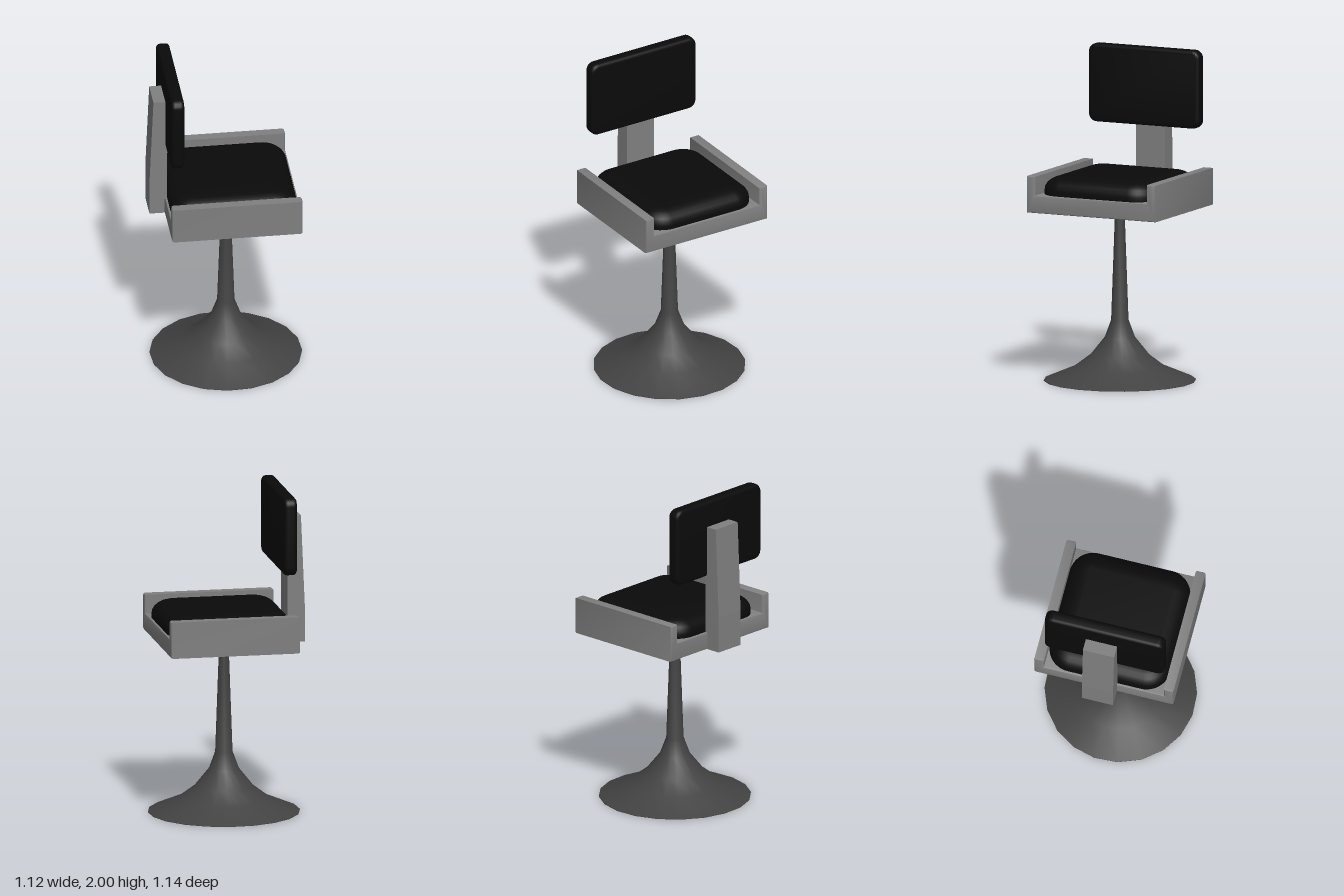
import * as THREE from 'three';
import { toCreasedNormals } from 'three/addons/utils/BufferGeometryUtils.js';

const material = (name, color) => {
  const m = new THREE.MeshStandardMaterial({ color });
  m.name = name;
  return m;
};

// Rounded rectangle centred on the origin, given half sizes and corner radius
function roundedRect(w, h, r) {
  const s = new THREE.Shape();
  s.absarc(w - r, h - r, r, 0, Math.PI / 2);
  s.absarc(-w + r, h - r, r, Math.PI / 2, Math.PI);
  s.absarc(-w + r, -h + r, r, Math.PI, Math.PI * 1.5);
  s.absarc(w - r, -h + r, r, Math.PI * 1.5, Math.PI * 2);
  return s;
}

// Extrusion centred on z = 0; depth is the straight part between the bevels
function padded(shape, depth, bevelSize, bevelThickness, bevelSegments, bevelOffset = 0) {
  const g = new THREE.ExtrudeGeometry(shape, {
    depth, bevelSize, bevelThickness, bevelSegments, bevelOffset, curveSegments: 5,
  });
  return g.translate(0, 0, -depth / 2);
}

export function createModel() {
  const black = material('black upholstery', 0x0a0a0a);
  const grey = material('grey frame', 0x808080);
  const darkGrey = material('dark grey pedestal', 0x424242);

  const model = new THREE.Group();
  const add = (parent, name, geometry, mat) => {
    const mesh = new THREE.Mesh(geometry, mat);
    mesh.name = name;
    parent.add(mesh);
    return mesh;
  };

  // Flared pedestal with a closed foot
  const profile = [[0, 0], [0.463, 0], [0.463, 0.003], [0.28, 0.08], [0.18, 0.155],
    [0.092, 0.265], [0.053, 0.37], [0.028, 1.07]].map(([r, y]) => new THREE.Vector2(r, y));
  const pedestal = add(model, 'pedestal',
    toCreasedNormals(new THREE.LatheGeometry(profile, 20), 0.7), darkGrey);
  pedestal.position.x = -0.018;

  // Upper chair, swivelled on the pedestal
  const chair = new THREE.Group();
  chair.name = 'swivelChair';
  chair.rotation.y = Math.PI / 3;
  model.add(chair);

  // Seat tray: U-shaped section with a low rail on each side
  const W = 0.435, rail = 0.06, b = 0.012;
  const tray = new THREE.Shape([
    [-W, 1.055], [W, 1.055], [W, 1.28], [W - rail, 1.28],
    [W - rail, 1.165], [-W + rail, 1.165], [-W + rail, 1.28], [-W, 1.28],
  ].map(([x, y]) => new THREE.Vector2(x, y)));
  add(chair, 'seatTray', toCreasedNormals(padded(tray, 0.8 - 2 * b, b, b, 2, -b), 0.6), grey);

  // Puffed seat cushion
  const cushion = padded(roundedRect(0.258, 0.268, 0.03), 0.03, 0.117, 0.085, 6);
  cushion.rotateX(-Math.PI / 2);
  add(chair, 'seatCushion', toCreasedNormals(cushion, 0.7), black).position.y = 1.175;

  // Back post, leaning slightly forward above the seat
  const postSide = new THREE.Shape([
    [-0.385, 1.057], [-0.385, 1.84], [-0.468, 1.84], [-0.492, 1.28], [-0.492, 1.057],
  ].map(([z, y]) => new THREE.Vector2(z, y)));
  const post = padded(postSide, 0.195, 0, 0, 1);
  post.rotateY(-Math.PI / 2);
  add(chair, 'backPost', post, grey).position.x = 0.015;

  // Backrest pad
  const pad = padded(roundedRect(0.353, 0.218, 0.03), 0.036, 0.022, 0.022, 4);
  add(chair, 'backrestPad', toCreasedNormals(pad, 0.7), black).position.set(0, 1.76, -0.355);

  return model;
}
